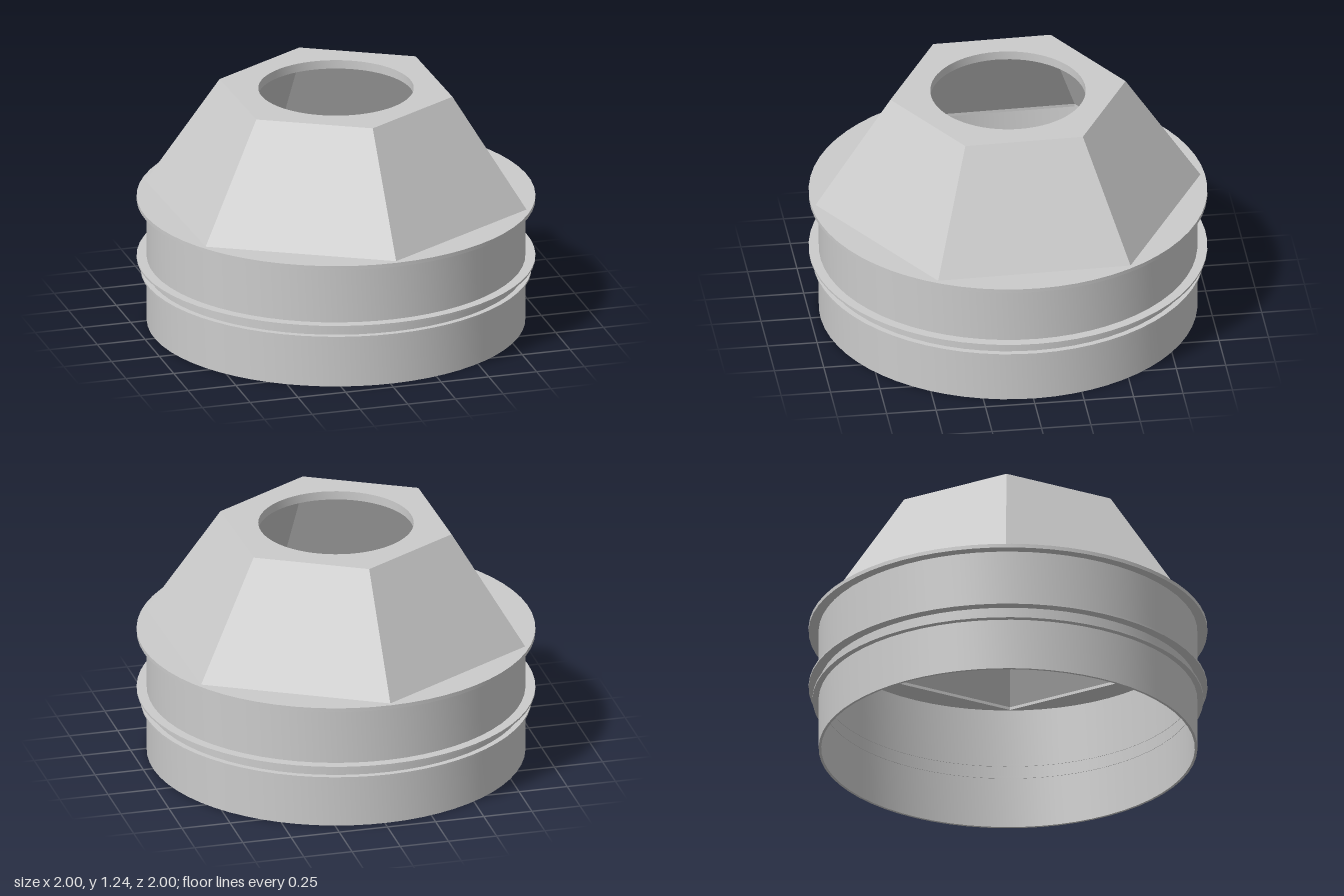
import * as THREE from 'three';
import { toCreasedNormals } from 'three/addons/utils/BufferGeometryUtils.js';

const SEGMENTS = 64;
const TWIST = THREE.MathUtils.degToRad(1.25);

const smooth = new THREE.MeshStandardMaterial({ color: 0xcccccc });
const faceted = new THREE.MeshStandardMaterial({ color: 0xcccccc, flatShading: true });
const facetedInside = new THREE.MeshStandardMaterial({ color: 0xcccccc, flatShading: true, side: THREE.BackSide });

// Outline with the given number of sides, drawn in plan
function outline(radius, sides, Type = THREE.Shape) {
  const points = [];
  for (let i = 0; i < sides; i++) {
    const a = TWIST + (i / sides) * Math.PI * 2;
    points.push(new THREE.Vector2(radius * Math.sin(a), -radius * Math.cos(a)));
  }
  return new Type(points);
}

// Flat plate with a central opening, standing between two heights
function plate(name, outer, outerSides, inner, innerSides, y0, y1) {
  const shape = outline(outer, outerSides);
  shape.holes.push(outline(inner, innerSides, THREE.Path));
  const raw = new THREE.ExtrudeGeometry(shape, { depth: y1 - y0, bevelEnabled: false });
  raw.rotateX(-Math.PI / 2);
  raw.translate(0, y0, 0);
  const mesh = new THREE.Mesh(toCreasedNormals(raw, 0.5), smooth);
  mesh.name = name;
  return mesh;
}

// Open six-sided sloping wall
function slopedWall(name, top, bottom, y0, y1, material) {
  const geometry = new THREE.CylinderGeometry(top, bottom, y1 - y0, 6, 1, true, TWIST);
  geometry.translate(0, (y0 + y1) / 2, 0);
  const mesh = new THREE.Mesh(geometry, material);
  mesh.name = name;
  return mesh;
}

export function createModel() {
  const model = new THREE.Group();
  model.name = 'hexagonalHood';

  // Round collar, open at the bottom, with two thin ribs
  model.add(plate('collar', 0.95, SEGMENTS, 0.937, SEGMENTS, 0, 0.65));
  model.add(plate('lowerRib', 0.98, SEGMENTS, 0.935, SEGMENTS, 0.268, 0.278));
  model.add(plate('upperRib', 1, SEGMENTS, 0.935, SEGMENTS, 0.334, 0.344));

  // Flange between the collar and the hood, with a hexagonal opening
  model.add(plate('flange', 1, SEGMENTS, 0.93, 6, 0.645, 0.665));

  // Hollow six-sided hood
  const hood = new THREE.Group();
  hood.name = 'hood';
  hood.add(slopedWall('hoodOuterWall', 0.597, 0.98, 0.66, 1.24, faceted));
  hood.add(slopedWall('hoodInnerWall', 0.58, 0.93, 0.66, 1.195, facetedInside));
  hood.add(plate('hoodTop', 0.597, 6, 0.39, SEGMENTS, 1.195, 1.24));
  model.add(hood);

  return model;
}
